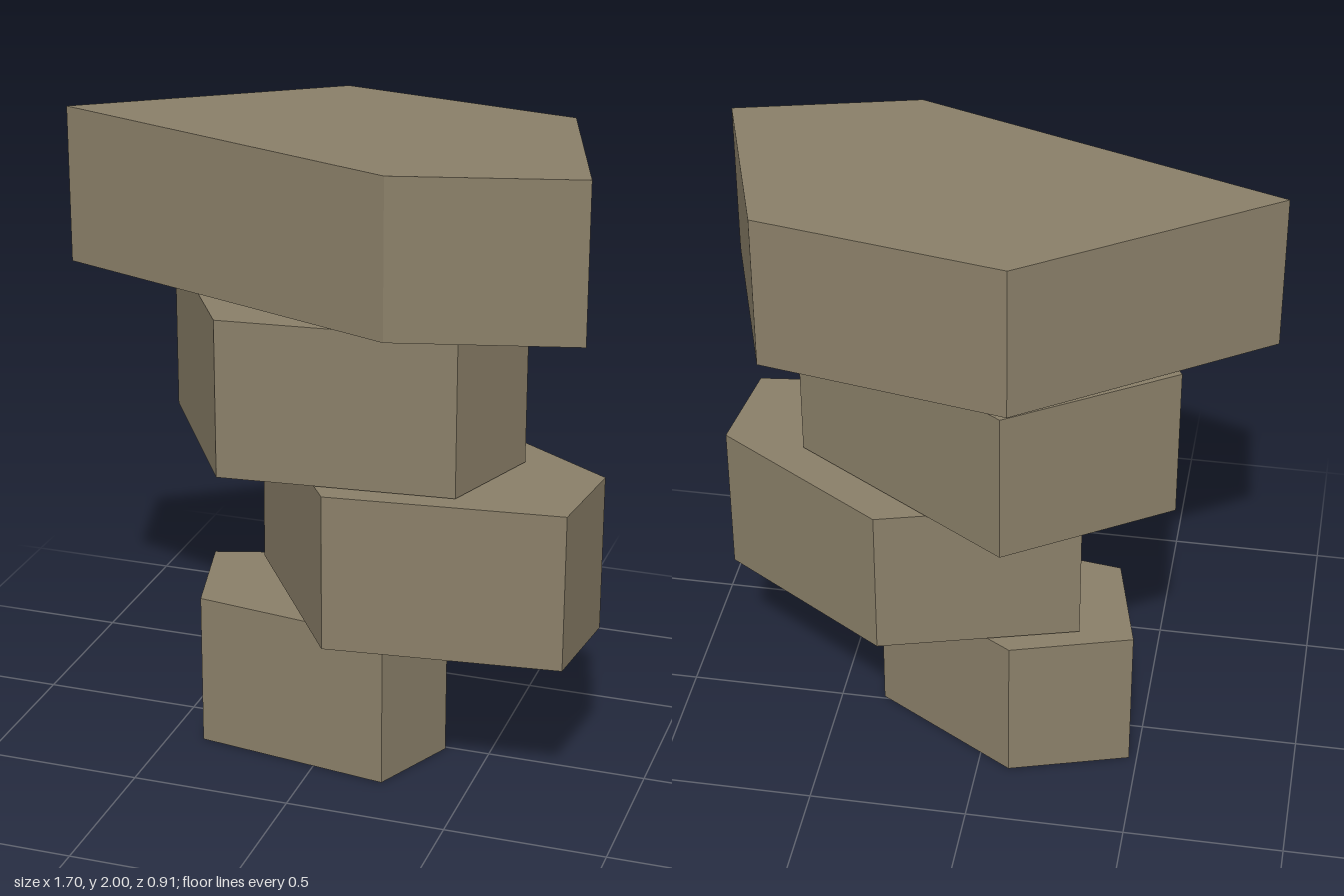
import * as THREE from 'three';

// Each stone: floor height, top height, and its outline as [x, z] corners
const STONES = [
  { name: 'baseStone', y0: 0, y1: 0.495,
    outline: [[-0.39, 0.195], [0.235, 0.285], [0.36, 0.01], [-0.1, -0.27], [-0.475, -0.155]] },
  { name: 'lowerStone', y0: 0.505, y1: 1,
    outline: [[0.09, 0.43], [0.81, 0.345], [0.845, 0.02], [0.305, -0.33], [-0.305, -0.155]] },
  { name: 'upperStone', y0: 1.005, y1: 1.5,
    outline: [[-0.25, 0.4], [0.47, 0.33], [0.59, -0.01], [-0.1, -0.455], [-0.585, -0.14]] },
  { name: 'capStone', y0: 1.51, y1: 2,
    outline: [[-0.85, 0.05], [0.285, 0.455], [0.84, 0.31], [0.64, -0.31], [-0.12, -0.455]] },
];

// Upright prism over a ground outline
function prism({ y0, y1, outline }) {
  const shape = new THREE.Shape(outline.map(([x, z]) => new THREE.Vector2(x, -z)));
  const geometry = new THREE.ExtrudeGeometry(shape, { depth: y1 - y0, bevelEnabled: false });
  return geometry.rotateX(-Math.PI / 2).translate(0, y0, 0);
}

export function createModel() {
  const group = new THREE.Group();
  group.name = 'stackedStones';
  const stone = new THREE.MeshStandardMaterial({ color: 0x8b8069 });
  stone.name = 'stone';

  for (const spec of STONES) {
    const mesh = new THREE.Mesh(prism(spec), stone);
    mesh.name = spec.name;
    group.add(mesh);
  }
  return group;
}
